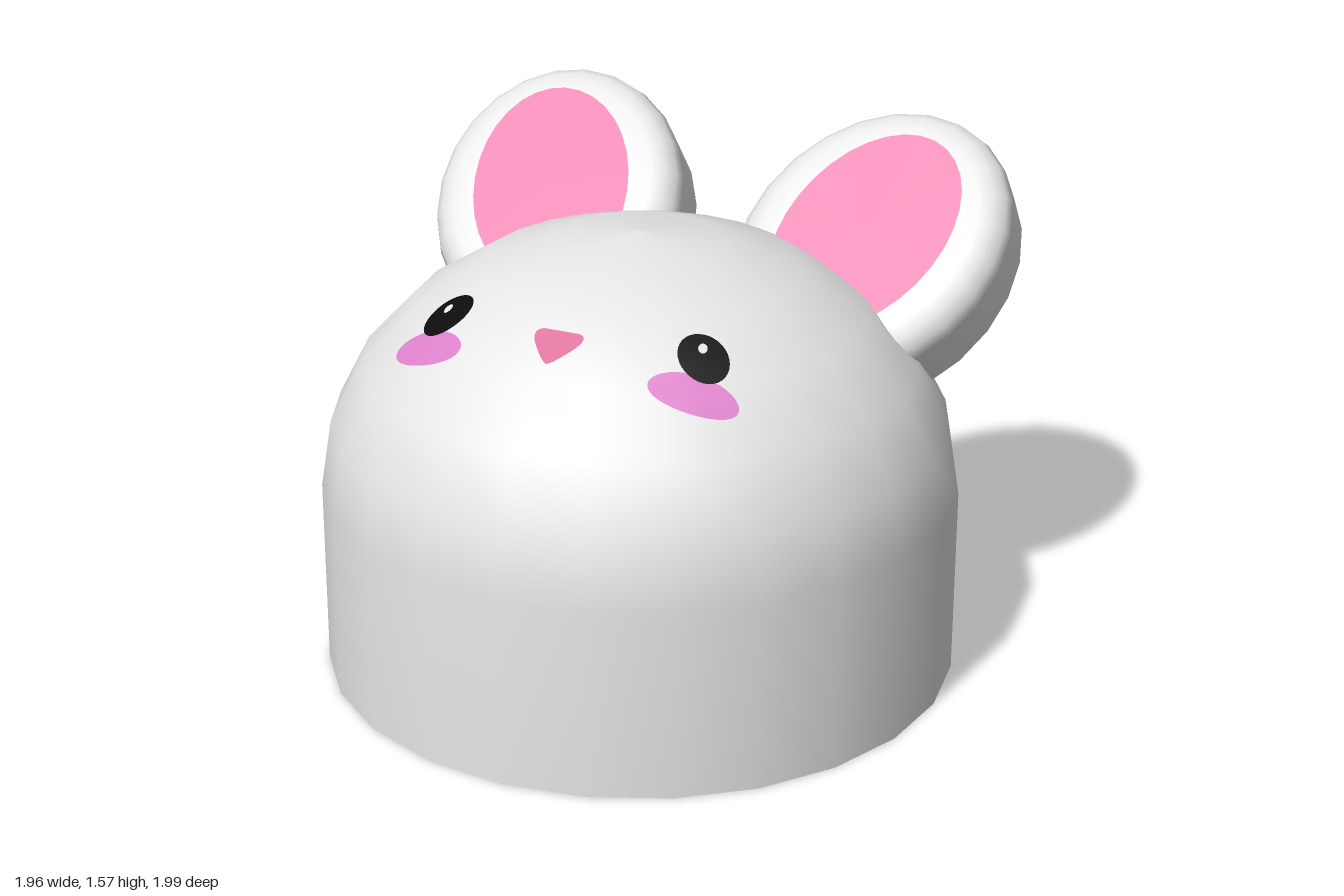
import * as THREE from 'three';

const mat = (name, color, side = THREE.FrontSide) => {
  const m = new THREE.MeshStandardMaterial({ color, side });
  m.name = name;
  return m;
};

const R = 0.98, WALL = 0.59, RISE = 0.79, CZ = 0.02;

// Height of the dome surface above a point in plan
const domeY = (x, z) =>
  WALL + RISE * Math.sqrt(Math.max(0, 1 - (x * x + (z - CZ) ** 2) / (R * R)));

export function createModel() {
  const group = new THREE.Group();
  const white = mat('white', 0xe6e6e6);
  const shell = mat('shell white', 0xe6e6e6);
  shell.side = THREE.DoubleSide;
  const earPink = mat('ear pink', 0xe67aa9, THREE.DoubleSide);
  const nosePink = mat('nose pink', 0xdc6f9b, THREE.DoubleSide);
  const cheekPink = mat('cheek pink', 0xdb80ca, THREE.DoubleSide);
  const black = mat('black', 0x0c0c0c, THREE.DoubleSide);

  const add = (parent, name, geo, material) => {
    const mesh = new THREE.Mesh(geo, material);
    mesh.name = name;
    parent.add(mesh);
    return mesh;
  };

  // Head: open cylinder wall running into a dome
  const profile = [new THREE.Vector2(R, 0)];
  for (let i = 0; i <= 6; i++) {
    const a = (i / 6) * Math.PI / 2;
    profile.push(new THREE.Vector2(i === 6 ? 0 : R * Math.cos(a), WALL + RISE * Math.sin(a)));
  }
  add(group, 'head', new THREE.LatheGeometry(profile, 24), shell).position.z = CZ;

  // Lays a flat shape on the dome, its y axis pointing to the back
  const drape = (name, geo, material, cx, cz, turn, lift) => {
    geo.rotateZ(turn);
    const p = geo.attributes.position;
    for (let i = 0; i < p.count; i++) {
      const x = cx + p.getX(i), z = cz - p.getY(i);
      p.setXYZ(i, x, domeY(x, z) + lift, z);
    }
    geo.computeVertexNormals();
    add(group, name, geo, material);
  };
  const oval = (rx, ry) => new THREE.CircleGeometry(1, 32).scale(rx, ry, 1);

  // Ear cross-section: straight side, rounded front rim
  const earProfile = [[1, 0], [1, 0.16], [0.97, 0.2], [0.9, 0.232], [0.8, 0.247], [0.65, 0.25], [0, 0.254]]
    .map(([x, y]) => new THREE.Vector2(x, y));

  for (const s of [1, -1]) {
    const side = s > 0 ? 'left' : 'right';

    // Ear: oval pad leaning back and tilted outward
    const ear = new THREE.Group();
    ear.name = side + 'Ear';
    ear.position.set(0.535 * s, 1.11, -0.625);
    ear.rotation.set(0.712, -0.35 * s, 0);
    group.add(ear);
    add(ear, 'earPad', new THREE.LatheGeometry(earProfile, 24).scale(0.415, 1, 0.495), white);
    add(ear, 'earBack', new THREE.CircleGeometry(1, 24).rotateX(Math.PI / 2).scale(0.415, 1, 0.495), white);
    add(ear, 'innerEar', oval(0.26, 0.37).rotateX(-Math.PI / 2), earPink).position.y = 0.259;

    // Face
    drape(side + 'Cheek', oval(0.13, 0.05), cheekPink, 0.422 * s, 0.587, 0.33 * s, 0.004);
    drape(side + 'Eye', oval(0.075, 0.072), black, 0.408 * s, 0.483, 0, 0.007);
    drape(side + 'EyeGlint', oval(0.013, 0.016), white, 0.408 * s - 0.011, 0.463, 0, 0.011);
  }

  // Nose: rounded triangle pointing to the front
  const nose = new THREE.Shape();
  nose.moveTo(0, -0.06);
  nose.quadraticCurveTo(0.02, -0.055, 0.065, 0.0);
  nose.quadraticCurveTo(0.09, 0.04, 0.055, 0.045);
  nose.lineTo(-0.055, 0.045);
  nose.quadraticCurveTo(-0.09, 0.04, -0.065, 0.0);
  nose.quadraticCurveTo(-0.02, -0.055, 0, -0.06);
  drape('nose', new THREE.ShapeGeometry(nose, 8), nosePink, 0, 0.605, 0, 0.004);

  return group;
}
